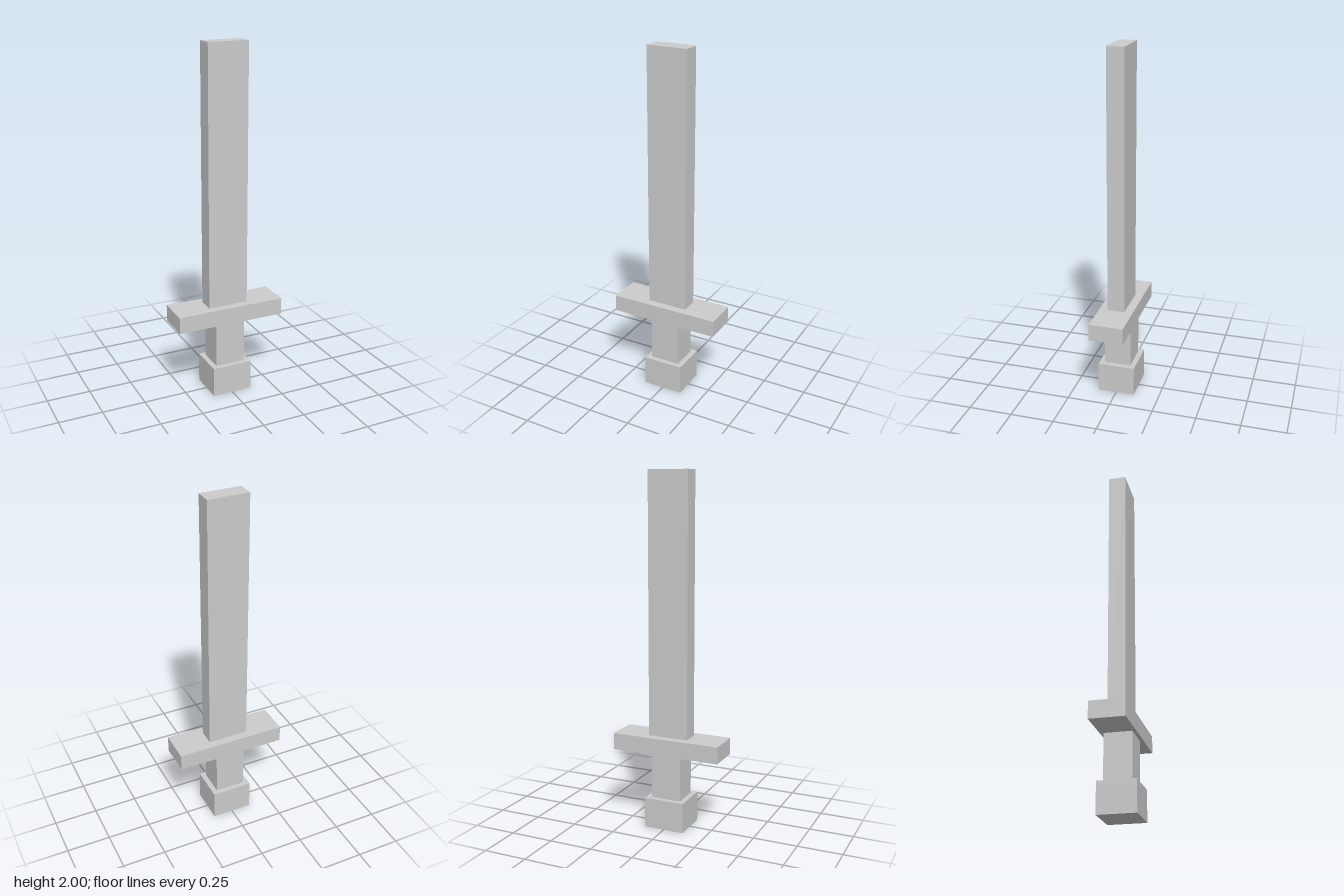
import * as THREE from 'three';

export function createModel() {
  const model = new THREE.Group();
  model.name = 'sword';
  const material = new THREE.MeshStandardMaterial({ color: 0xcccccc, flatShading: true });

  // Centred block spanning from height y0 to y1
  function block(name, width, depth, y0, y1) {
    const mesh = new THREE.Mesh(new THREE.BoxGeometry(width, y1 - y0, depth), material);
    mesh.name = name;
    mesh.position.y = (y0 + y1) / 2;
    model.add(mesh);
  }

  block('pommel', 0.234, 0.212, 0, 0.173);
  block('grip', 0.174, 0.154, 0.173, 0.432);
  block('crossGuard', 0.634, 0.194, 0.432, 0.528);
  block('blade', 0.234, 0.098, 0.528, 2);

  return model;
}
